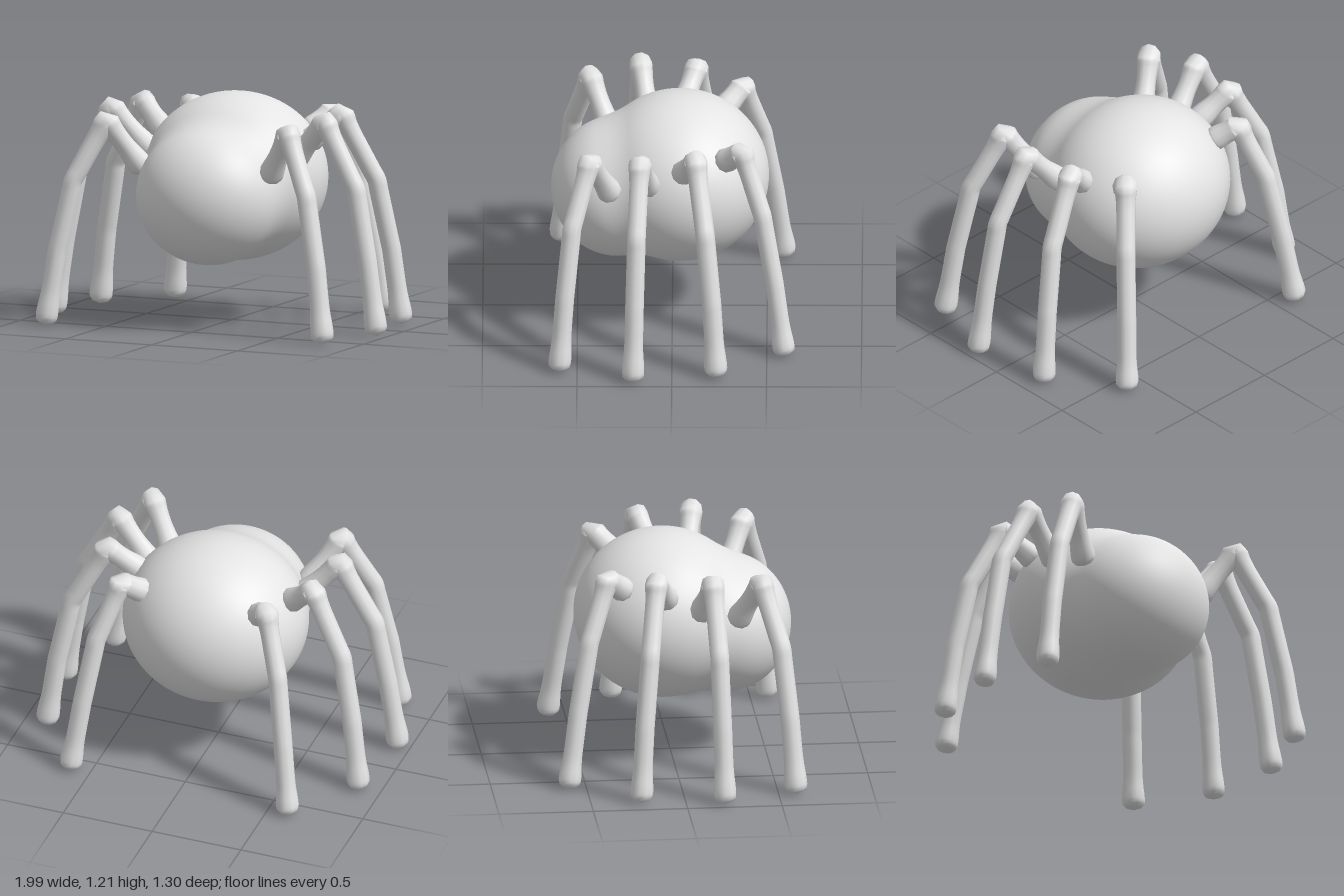
import * as THREE from 'three';
import { mergeVertices } from 'three/addons/utils/BufferGeometryUtils.js';

const V = (x, y, z) => new THREE.Vector3(x, y, z);

// Abdomen and head ellipsoids, melted together by the body
const LOBES = [
  { c: V(0, 0.765, -0.04), r: V(0.495, 0.447, 0.47) },
  { c: V(0, 0.7, 0.29), r: V(0.392, 0.367, 0.35) },
];

// Left legs, front to back: root, knee, shin bend, lower shin, foot
const LEGS = {
  FrontLeg: [[0.36, 0.81, 0.315], [0.53, 1.085, 0.435], [0.68, 0.77, 0.527], [0.755, 0.4, 0.565], [0.81, 0, 0.595]],
  MidFrontLeg: [[0.4, 0.87, 0.12], [0.62, 1.115, 0.17], [0.81, 0.77, 0.187], [0.88, 0.4, 0.197], [0.94, 0, 0.205]],
  MidBackLeg: [[0.4, 0.95, -0.045], [0.58, 1.115, -0.125], [0.76, 0.77, -0.175], [0.83, 0.4, -0.21], [0.88, 0, -0.235]],
  BackLeg: [[0.31, 0.98, -0.255], [0.41, 1.085, -0.37], [0.51, 0.77, -0.475], [0.565, 0.4, -0.54], [0.615, 0, -0.595]],
};

function smooth(geometry) {
  geometry.deleteAttribute('uv');
  geometry.deleteAttribute('normal');
  const merged = mergeVertices(geometry, 1e-5);
  merged.computeVertexNormals();
  return merged;
}

// Distance from o along d to the far side of an ellipsoid
function reach(o, d, { c, r }) {
  const p = o.clone().sub(c).divide(r), q = d.clone().divide(r);
  const a = q.dot(q), b = p.dot(q), k = p.dot(p) - 1;
  return (-b + Math.sqrt(b * b - a * k)) / a;
}

// Sphere pushed out to a soft union of the two lobes
function bodyGeometry() {
  const geometry = new THREE.SphereGeometry(1, 96, 64);
  const pos = geometry.attributes.position;
  const origin = V(0, 0.73, 0.13), d = V(0, 0, 0), blend = 0.075;
  for (let i = 0; i < pos.count; i++) {
    d.fromBufferAttribute(pos, i).normalize();
    const [a, b] = LOBES.map((lobe) => reach(origin, d, lobe));
    const h = Math.max(blend - Math.abs(a - b), 0) / blend;
    d.multiplyScalar(Math.max(a, b) + h * h * blend / 4).add(origin);
    pos.setXYZ(i, d.x, d.y, d.z);
  }
  return smooth(geometry);
}

// Extra points along each segment keep the joints crisp
function subdivide(points) {
  const out = [points[0]];
  for (let i = 1; i < points.length; i++) {
    for (const t of [0.15, 0.5, 0.85, 1]) out.push(points[i - 1].clone().lerp(points[i], t));
  }
  return out;
}

const bump = (u, at, width) => Math.exp(-(((u - at) / width) ** 2));

// Tube with a thicker root, knee and foot and blunt closed ends
function legGeometry(points) {
  const curve = new THREE.CatmullRomCurve3(subdivide(points), false, 'centripetal');
  const rings = 90, sides = 10;
  const geometry = new THREE.TubeGeometry(curve, rings, 1, sides);
  const pos = geometry.attributes.position, v = V(0, 0, 0);
  const length = curve.getLength();
  const kneeAt = points[0].distanceTo(points[1]) / length;
  for (let i = 0; i <= rings; i++) {
    const u = i / rings, centre = curve.getPointAt(u);
    let radius = 0.051 + 0.015 * bump(u, 0.03, 0.06) + 0.01 * bump(u, kneeAt, 0.05) + 0.01 * bump(u, 0.96, 0.06);
    const end = Math.min(u, 1 - u) * length / 0.045;
    if (end < 1) radius *= Math.sqrt(1 - (1 - end) ** 2);
    for (let j = 0; j <= sides; j++) {
      const k = i * (sides + 1) + j;
      v.fromBufferAttribute(pos, k).sub(centre).multiplyScalar(radius).add(centre);
      pos.setXYZ(k, v.x, v.y, v.z);
    }
  }
  return smooth(geometry);
}

export function createModel() {
  const group = new THREE.Group();
  group.name = 'spider';
  const grey = new THREE.MeshStandardMaterial({ color: 0xe4e4e4 });
  grey.name = 'light grey';

  const add = (name, geometry) => {
    const mesh = new THREE.Mesh(geometry, grey);
    mesh.name = name;
    group.add(mesh);
  };

  add('body', bodyGeometry());
  for (const [name, path] of Object.entries(LEGS)) {
    for (const side of [1, -1]) {
      const points = path.map(([x, y, z]) => V(side * x, y, z));
      add((side > 0 ? 'left' : 'right') + name, legGeometry(points));
    }
  }
  return group;
}
